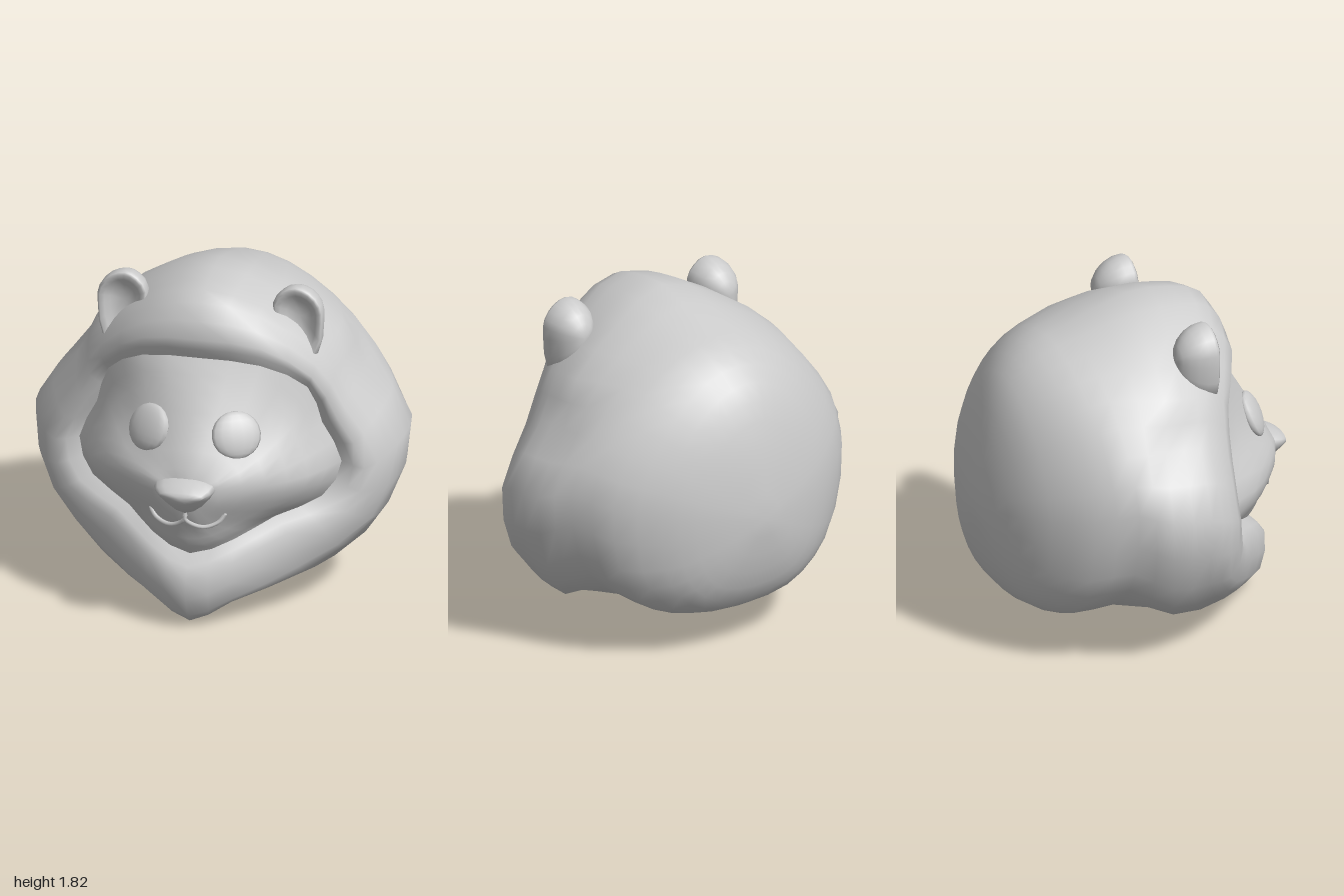
import * as THREE from 'three';
import { mergeVertices } from 'three/addons/utils/BufferGeometryUtils.js';

const material = new THREE.MeshStandardMaterial({ color: 0xcccccc, roughness: 0.8 });
const V = (p) => new THREE.Vector3(...p);

// Half cross-section (top to bottom, x >= 0) mirrored into a closed loop
const mirrorLoop = (half) => [
  ...half,
  ...half.slice(1, -1).reverse().map(([x, y, z]) => [-x, y, z]),
];

// Smooth skin through closed loops ordered front to back; a loop of one point is a pole
function loft(loops, n) {
  const rings = loops.map((loop) => {
    const curve = loop.length > 1 ? new THREE.CatmullRomCurve3(loop.map(V), true, 'catmullrom', 0.5) : null;
    return Array.from({ length: n }, (_, i) => (curve ? curve.getPoint(i / n) : V(loop[0])));
  });
  // Curve through the rings, with one extra row between each pair
  const columns = Array.from({ length: n }, (_, i) => new THREE.CatmullRomCurve3(rings.map((ring) => ring[i])));
  const last = (rings.length - 1) * 2, pos = [], index = [];
  for (let r = 0; r <= last; r++) for (const column of columns) pos.push(...column.getPoint(r / last).toArray());
  for (let r = 0; r < last; r++) {
    for (let i = 0; i < n; i++) {
      const j = (i + 1) % n, a = r * n + i, b = r * n + j, c = a + n, d = b + n;
      if (r > 0 || loops[0].length > 1) index.push(a, b, c);
      if (r < last - 1 || loops.at(-1).length > 1) index.push(b, d, c);
    }
  }
  let geo = new THREE.BufferGeometry();
  geo.setAttribute('position', new THREE.Float32BufferAttribute(pos, 3));
  geo.setIndex(index);
  geo = mergeVertices(geo, 1e-4);
  geo.computeVertexNormals();
  return geo;
}

function part(name, geometry) {
  const mesh = new THREE.Mesh(geometry, material);
  mesh.name = name;
  return mesh;
}

// Line where the face meets the mane
const faceEdge = [[0, 1.44, 0.47], [0.32, 1.41, 0.43], [0.54, 1.25, 0.28], [0.61, 1.04, 0.24], [0.71, 0.82, 0.22],
  [0.62, 0.64, 0.29], [0.4, 0.56, 0.43], [0.22, 0.48, 0.6], [0, 0.41, 0.68]];

function makeMane() {
  const crest = [[0, 1.56, 0.515], [0.32, 1.52, 0.46], [0.57, 1.32, 0.31], [0.7, 1.08, 0.27], [0.84, 0.8, 0.25],
    [0.75, 0.57, 0.31], [0.48, 0.49, 0.49], [0.23, 0.38, 0.69], [0, 0.29, 0.78]];
  const front = [[0, 1.74, 0.43], [0.29, 1.66, 0.36], [0.59, 1.43, 0.22], [0.74, 1.19, 0.17], [0.95, 0.86, 0.14],
    [0.86, 0.49, 0.18], [0.52, 0.28, 0.44], [0.23, 0.17, 0.67], [0, 0.075, 0.74]];
  const rim = [[0, 1.805, 0.26], [0.32, 1.69, 0.2], [0.62, 1.45, 0.1], [0.76, 1.23, 0.05], [1, 0.91, 0],
    [0.89, 0.49, 0.04], [0.58, 0.225, 0.28], [0.2, 0.11, 0.55], [0, 0.005, 0.6]];
  const widest = [[0, 1.825, 0], [0.34, 1.7, -0.06], [0.64, 1.48, -0.1], [0.76, 1.24, -0.15], [0.985, 0.93, -0.22],
    [0.89, 0.5, -0.17], [0.7, 0.26, -0.08], [0.35, 0.2, 0.1], [0, 0.175, 0.18]];
  // Back of the head: sections narrow at the crown and boxy below [z, half width, top, bottom]
  const back = [[-0.37, 0.88, 1.71, 0.23], [-0.57, 0.755, 1.64, 0.19], [-0.73, 0.56, 1.5, 0.25],
    [-0.82, 0.39, 1.31, 0.38], [-0.88, 0.2, 1.06, 0.58]]
    .map(([z, w, top, bottom]) => Array.from({ length: 9 }, (_, i) => {
      const a = (i / 8) * Math.PI, c = Math.cos(a);
      const power = c > 0 ? 1 : 0.75, taper = 1 - 0.2 * Math.max(0, c);
      const y = (top + bottom) / 2 + (top - bottom) / 2 * Math.sign(c) * Math.abs(c) ** power;
      return [i % 8 ? w * taper * Math.sin(a) ** power : 0, y, z];
    }));
  return loft([...[faceEdge, crest, front, rim, widest, ...back].map(mirrorLoop), [[0, 0.79, -0.91]]], 32);
}

function makeFace() {
  const muzzle = [[0, 0.94, 0.785], [0.12, 0.92, 0.77], [0.17, 0.88, 0.78], [0.18, 0.85, 0.785], [0.18, 0.8, 0.785],
    [0.17, 0.75, 0.78], [0.12, 0.7, 0.78], [0.06, 0.67, 0.785], [0, 0.66, 0.785]];
  const cheek = [[0, 1.1, 0.69], [0.2, 1.08, 0.64], [0.32, 1.0, 0.61], [0.38, 0.91, 0.64], [0.4, 0.82, 0.65],
    [0.34, 0.72, 0.66], [0.22, 0.63, 0.69], [0.1, 0.57, 0.735], [0, 0.56, 0.74]];
  const outer = [[0, 1.28, 0.58], [0.28, 1.26, 0.51], [0.45, 1.14, 0.42], [0.52, 1.0, 0.43], [0.59, 0.82, 0.46],
    [0.51, 0.69, 0.49], [0.33, 0.59, 0.57], [0.16, 0.51, 0.68], [0, 0.47, 0.715]];
  return loft([[[0, 0.8, 0.82]], ...[muzzle, cheek, outer, faceEdge].map(mirrorLoop)], 32);
}

function makeNose() {
  const tip = [[0, 0.84, 0.895], [0.08, 0.835, 0.89], [0.12, 0.815, 0.88], [0.06, 0.785, 0.89], [0, 0.775, 0.895]];
  const base = [[0, 0.885, 0.81], [0.11, 0.87, 0.8], [0.165, 0.83, 0.79], [0.09, 0.73, 0.79], [0, 0.69, 0.8]];
  const root = base.map(([x, y]) => [x * 0.9, y, 0.72]);
  return loft([[[0, 0.81, 0.908]], ...[tip, base, root].map(mirrorLoop)], 16);
}

// Ear with a shallow front, a soft rim and a rounded back
function makeEar(side) {
  const outline = [[0.46, 1.795], [0.54, 1.77], [0.6, 1.7], [0.61, 1.6], [0.58, 1.41], [0.45, 1.43], [0.36, 1.55], [0.34, 1.69], [0.39, 1.765]];
  const cx = 0.48, cy = 1.62;
  const ring = (scale, z) => {
    const pts = outline.map(([x, y]) => [side * (cx + (x - cx) * scale), cy + (y - cy) * scale, z]);
    return side > 0 ? pts : pts.reverse();
  };
  const pole = (z) => [[side * cx, cy, z]];
  return loft([pole(0.2), ring(0.5, 0.215), ring(0.88, 0.25), ring(1, 0.225), ring(0.86, 0.13), ring(0.45, 0.06), pole(0.04)], 18);
}

export function createModel() {
  const head = new THREE.Group();
  head.name = 'lionHead';
  head.add(part('mane', makeMane()), part('face', makeFace()), part('nose', makeNose()));

  for (const side of [1, -1]) {
    const label = side > 0 ? 'left' : 'right';
    head.add(part(label + 'Ear', makeEar(side)));

    // Flattened round eye lying on the slope of the face
    const eye = part(label + 'Eye', new THREE.SphereGeometry(1, 14, 10));
    eye.scale.set(0.135, 0.127, 0.042);
    eye.position.set(side * 0.237, 1.085, 0.62);
    eye.lookAt(side * 0.7, 1.48, 1.4);
    head.add(eye);

    // Half of the mouth line
    const path = new THREE.CatmullRomCurve3([[0, 0.69, 0.79], [0, 0.655, 0.795], [side * 0.04, 0.62, 0.78],
      [side * 0.1, 0.605, 0.765], [side * 0.17, 0.63, 0.74], [side * 0.2, 0.67, 0.725]].map(V));
    head.add(part(label + 'Mouth', new THREE.TubeGeometry(path, 16, 0.012, 6)));
    const end = part(label + 'MouthEnd', new THREE.SphereGeometry(0.012, 6, 5));
    end.position.set(side * 0.2, 0.67, 0.725);
    head.add(end);
  }
  return head;
}
